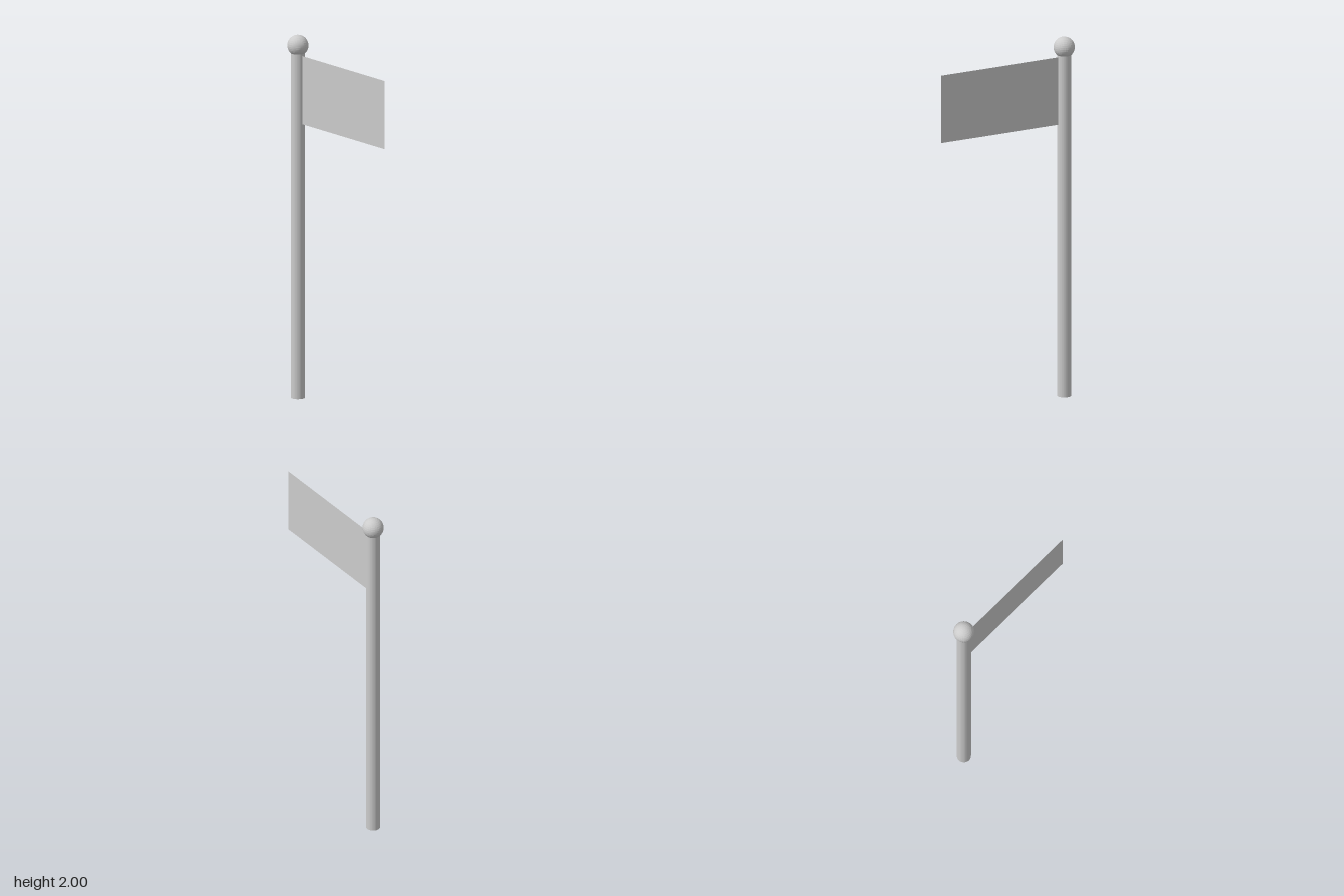
import * as THREE from 'three';

export function createModel() {
  const group = new THREE.Group();
  const solid = new THREE.MeshStandardMaterial({ color: 0xcccccc, flatShading: true });
  const cloth = new THREE.MeshStandardMaterial({ color: 0xcccccc, side: THREE.DoubleSide });
  const poleX = -0.352, poleHeight = 1.905, ballRadius = 0.057;
  const flagWidth = 0.762, flagHeight = 0.376;

  const add = (name, geometry, material, x, y) => {
    const mesh = new THREE.Mesh(geometry, material);
    mesh.name = name;
    mesh.position.set(x, y, 0);
    group.add(mesh);
  };

  // Upright pole standing on the ground
  add('pole', new THREE.CylinderGeometry(0.038, 0.038, poleHeight, 32), solid, poleX, poleHeight / 2);

  // Ball on top of the pole
  add('finial', new THREE.SphereGeometry(ballRadius, 32, 16), solid, poleX, 2 - ballRadius);

  // Flat thin flag, starting at the pole's axis
  add('flag', new THREE.PlaneGeometry(flagWidth, flagHeight), cloth, poleX + flagWidth / 2, 1.703);

  return group;
}
